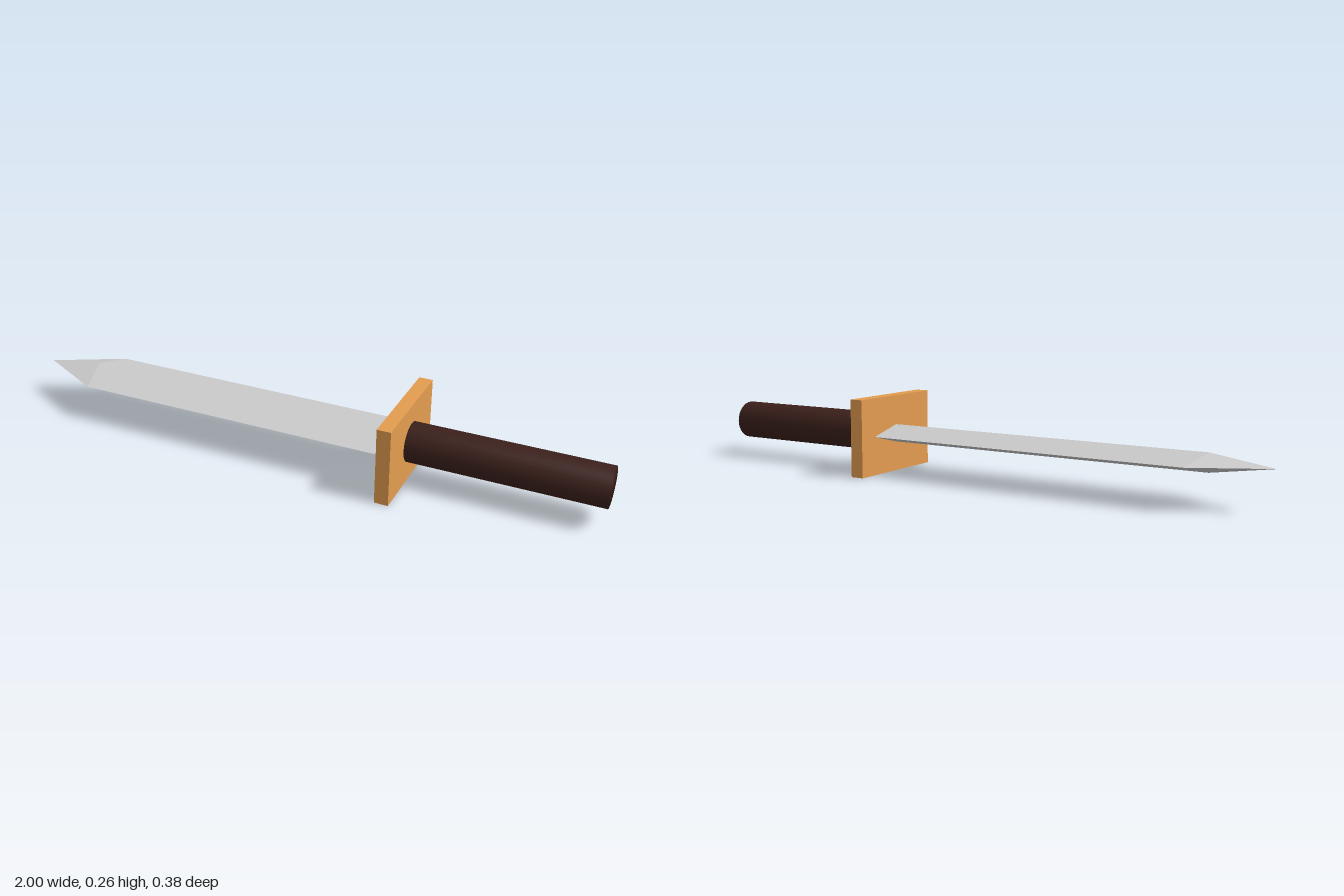
import * as THREE from 'three';
import { mergeVertices } from 'three/addons/utils/BufferGeometryUtils.js';

const AXIS_Y = 0.13;

function part(name, geometry, color, x, flatShading = false) {
  const material = new THREE.MeshStandardMaterial({ color, flatShading });
  const mesh = new THREE.Mesh(geometry, material);
  mesh.name = name;
  mesh.position.set(x, AXIS_Y, 0);
  return mesh;
}

// Diamond-section blade: base ring, shoulder ring, then a single tip point
function bladeGeometry(length, shoulderRidge, shoulderEdge, halfThick, halfWide) {
  const ring = (ridgeX, edgeX) => [
    [ridgeX, halfThick, 0], [edgeX, 0, halfWide],
    [ridgeX, -halfThick, 0], [edgeX, 0, -halfWide],
  ];
  const points = [...ring(0, 0), ...ring(-shoulderRidge, -shoulderEdge), [-length, 0, 0]];
  const index = [0, 2, 1, 0, 3, 2]; // base cap, facing +x
  for (let i = 0; i < 4; i++) {
    const j = (i + 1) % 4;
    index.push(i, 4 + i, j, j, 4 + i, 4 + j); // side
    index.push(4 + i, 8, 4 + j); // point
  }
  const geometry = new THREE.BufferGeometry();
  geometry.setAttribute('position', new THREE.Float32BufferAttribute(points.flat(), 3));
  geometry.setIndex(index);
  const faceted = geometry.toNonIndexed();
  faceted.computeVertexNormals();
  return faceted;
}

// Round grip along x, with shading that runs smoothly over its end caps
function gripGeometry(radius, length) {
  let geometry = new THREE.CylinderGeometry(radius, radius, length, 32);
  geometry.rotateZ(-Math.PI / 2);
  geometry.deleteAttribute('normal');
  geometry.deleteAttribute('uv');
  geometry = mergeVertices(geometry);
  geometry.computeVertexNormals();
  return geometry;
}

export function createModel() {
  const group = new THREE.Group();
  group.name = 'dagger';
  group.add(
    part('blade', bladeGeometry(1.33, 1.13, 1.1, 0.03, 0.12), 0xcccccc, 0.33, true),
    part('guard', new THREE.BoxGeometry(0.046, 0.26, 0.376), 0xe39c50, 0.346),
    part('grip', gripGeometry(0.066, 0.634), 0x3b201b, 0.683),
  );
  return group;
}
